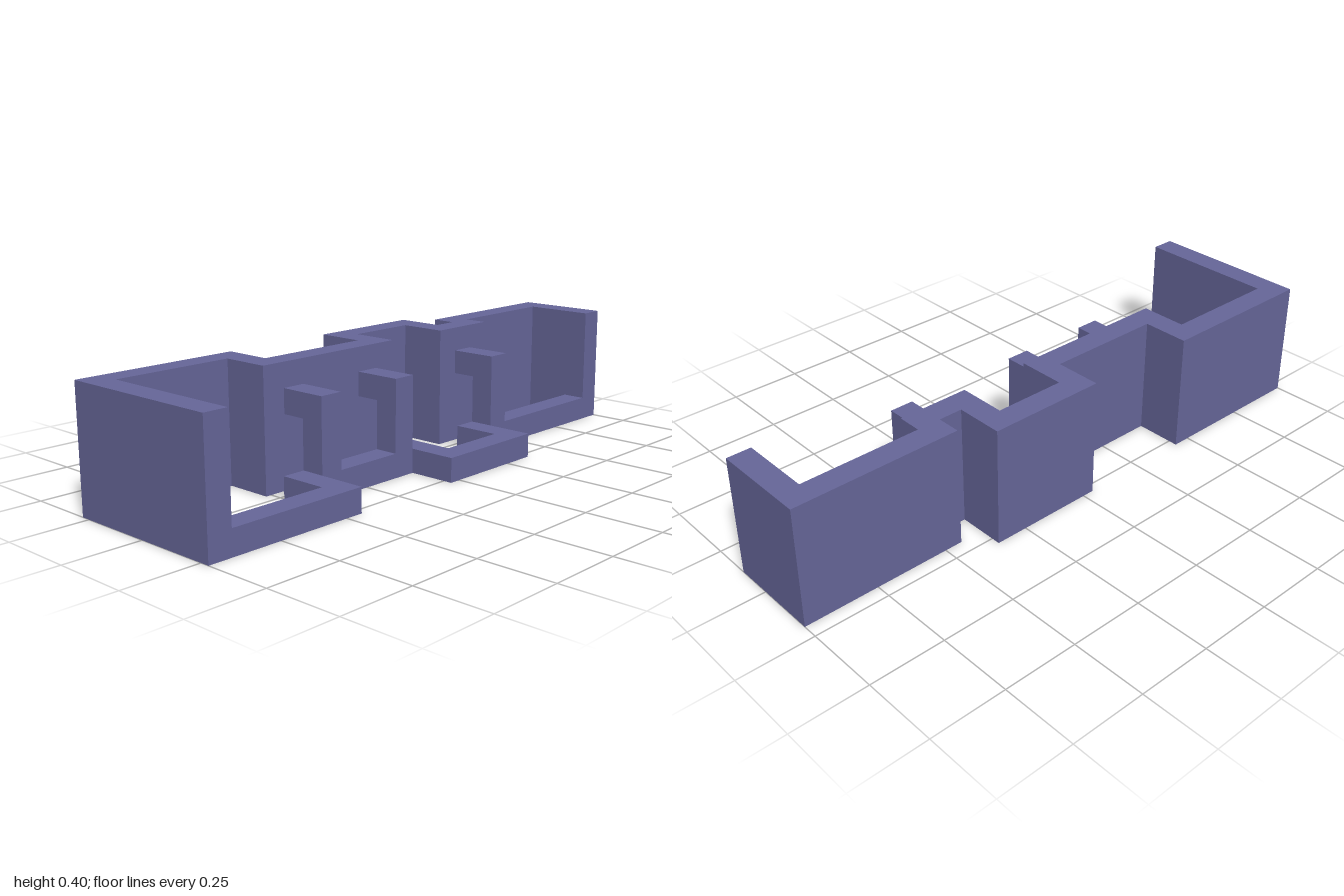
import * as THREE from 'three';

const T = 0.08; // wall thickness
const material = new THREE.MeshStandardMaterial({ color: 0x666699, flatShading: true });

function extrude(points, depth) {
  const shape = new THREE.Shape(points.map(([a, b]) => new THREE.Vector2(a, b)));
  return new THREE.ExtrudeGeometry(shape, { depth, bevelEnabled: false });
}

// Wall of even thickness along a right-angled centre line of [x, z] points
function wall(name, path, height) {
  const normal = (a, b) => [-Math.sign(b[1] - a[1]), Math.sign(b[0] - a[0])];
  const left = [], right = [];
  path.forEach(([x, z], i) => {
    const before = i > 0 ? normal(path[i - 1], path[i]) : [0, 0];
    const after = i < path.length - 1 ? normal(path[i], path[i + 1]) : [0, 0];
    const dx = (before[0] + after[0]) * T / 2, dz = (before[1] + after[1]) * T / 2;
    left.push([x + dx, z + dz]);
    right.unshift([x - dx, z - dz]);
  });
  const geometry = extrude([...left, ...right], height);
  geometry.rotateX(Math.PI / 2).translate(0, height, 0);
  const mesh = new THREE.Mesh(geometry, material);
  mesh.name = name;
  return mesh;
}

export function createModel() {
  const model = new THREE.Group();
  model.name = 'roomRow';

  // Full-height wall around the sides and back of the rooms
  model.add(wall('backWall', [
    [-0.96, 0.28], [-0.96, -0.24], [-0.48, -0.24], [-0.48, -0.08], [0, -0.08], [0, -0.24],
    [0.32, -0.24], [0.32, -0.08], [0.48, -0.08], [0.48, -0.16], [0.96, -0.16], [0.96, 0.12],
  ], 0.4));

  // Low wall along the open front
  model.add(wall('frontLowWall', [
    [-0.92, 0.24], [-0.48, 0.24], [-0.48, 0.08], [0, 0.08],
    [0, 0.24], [0.32, 0.24], [0.32, 0.08], [0.92, 0.08],
  ], 0.08));

  // Doorways between rooms: front post with a lintel reaching the back wall
  const door = extrude([
    [0.12, 0.08], [0.12, 0.32], [-0.04, 0.32], [-0.04, 0.24], [0.04, 0.24], [0.04, 0.08],
  ], T).rotateY(-Math.PI / 2).translate(T / 2, 0, 0);
  [-0.4, -0.08, 0.4].forEach((x, i) => {
    const mesh = new THREE.Mesh(door, material);
    mesh.name = `doorFrame${i + 1}`;
    mesh.position.x = x;
    model.add(mesh);
  });

  return model;
}
